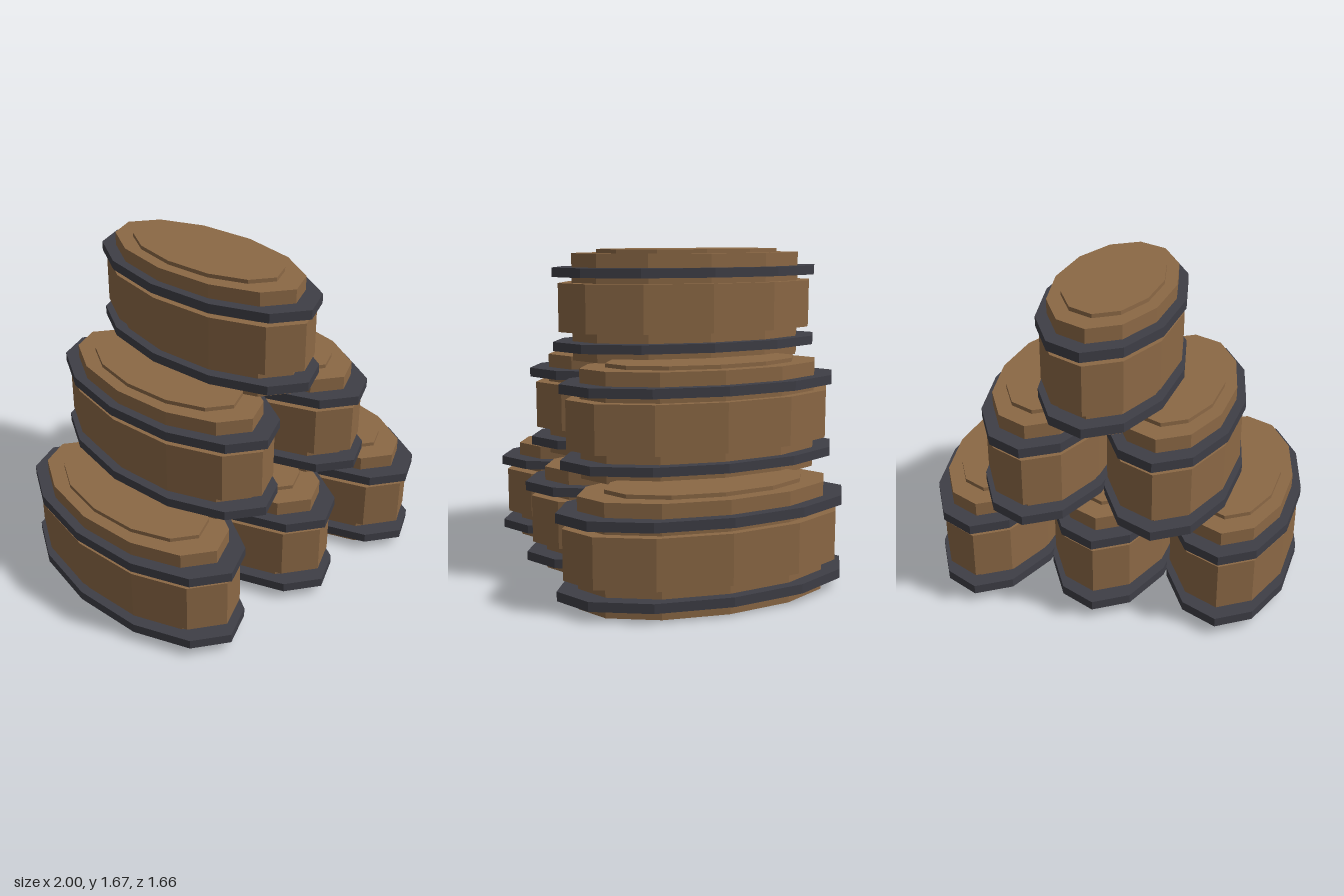
import * as THREE from 'three';

const wood = new THREE.MeshStandardMaterial({ color: 0x8b6845, flatShading: true });
wood.name = 'wood';
const iron = new THREE.MeshStandardMaterial({ color: 0x3e3e46, flatShading: true });
iron.name = 'dark iron';

const DEPTH = 2.083; // barrels are oval: depth relative to width

// Twelve-sided oval drum between two heights
function drum(name, radius, y0, y1, material) {
  const geometry = new THREE.CylinderGeometry(radius, radius, y1 - y0, 12);
  geometry.scale(1, 1, DEPTH);
  geometry.translate(0, (y0 + y1) / 2, 0);
  const mesh = new THREE.Mesh(geometry, material);
  mesh.name = name;
  return mesh;
}

function createBarrel() {
  const barrel = new THREE.Group();
  barrel.name = 'barrel';
  barrel.add(
    drum('lowerStaves', 0.31, 0, 0.15, wood),
    drum('belly', 0.345, 0.15, 0.4, wood),
    drum('upperStaves', 0.31, 0.4, 0.55, wood),
    drum('lid', 0.247, 0.55, 0.57, wood),
    drum('lowerHoop', 0.36, 0.053, 0.1, iron),
    drum('upperHoop', 0.36, 0.431, 0.479, iron)
  );
  return barrel;
}

export function createModel() {
  const model = new THREE.Group();
  model.name = 'barrelStack';
  // Rows of three, two and one, each set a little further back
  const rowZ = [0.08, -0.027, -0.08];
  rowZ.forEach((z, row) => {
    const count = 3 - row;
    for (let i = 0; i < count; i++) {
      const barrel = createBarrel();
      barrel.position.set((i - (count - 1) / 2) * 0.64, row * 0.55, z);
      model.add(barrel);
    }
  });
  return model;
}
